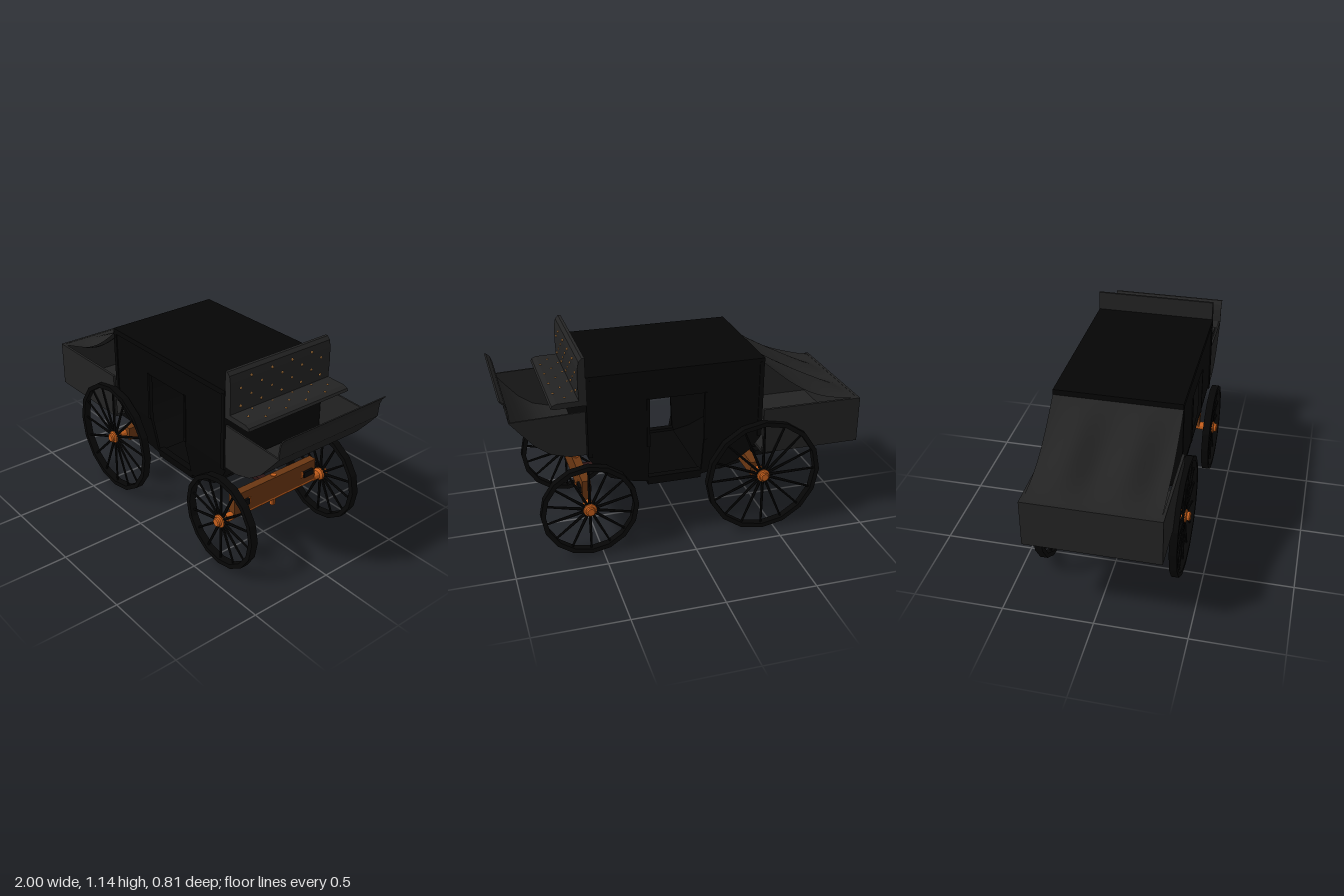
import * as THREE from 'three';

const mat = (color, side = THREE.FrontSide, flatShading = true) =>
  new THREE.MeshStandardMaterial({ color, side, flatShading });
const black = mat(0x050505, THREE.DoubleSide);
const iron = mat(0x060606);
const leather = mat(0x232323, THREE.DoubleSide);
const softLeather = mat(0x232323, THREE.DoubleSide, false);
const orange = mat(0xc8601c);
const wood = mat(0x6a3612);
const darkWood = mat(0x2a1414);
const brass = mat(0xe09a50);

function add(parent, name, geometry, material, x = 0, y = 0, z = 0) {
  const m = new THREE.Mesh(geometry, material);
  m.name = name;
  m.position.set(x, y, z);
  parent.add(m);
  return m;
}

const box = (w, h, d) => new THREE.BoxGeometry(w, h, d);
const rod = (r, length) => new THREE.CylinderGeometry(r, r, length, 12).rotateX(Math.PI / 2);
const shapeOf = pts => new THREE.Shape(pts.map(p => new THREE.Vector2(p[0], p[1])));

// x-y profile extruded across the vehicle, centred on z = 0
const crossExtrude = (pts, width) => new THREE.ExtrudeGeometry(shapeOf(pts),
  { depth: width, bevelEnabled: false }).translate(0, 0, -width / 2);

// body half width: straight above y = 0.6, tapering inwards below
const halfWidth = y => 0.34 - Math.max(0, 0.6 - y) * 0.2;

// sheet that follows an x-y profile across the full width
function ribbon(pts, width, cols = 1, lift = () => 0) {
  const g = new THREE.PlaneGeometry(1, 1, cols, pts.length - 1);
  const p = g.attributes.position;
  // profiles running down the rear are laid from +z to -z, so every sheet faces outwards
  const dir = pts[0][0] < 0 ? 1 : -1;
  for (let r = 0, i = 0; r < pts.length; r++) {
    for (let c = 0; c <= cols; c++, i++) {
      const [x, y] = pts[r], s = dir * (c / cols * 2 - 1);
      p.setXYZ(i, x, y + lift(r / (pts.length - 1), s), s * width(y));
    }
  }
  g.computeVertexNormals();
  return g;
}

// thin side panels on both sides, bent inwards with the body taper
function sidePanels(parent, name, pts, material, width, depth = 0.015) {
  for (const s of [1, -1]) {
    const g = new THREE.ExtrudeGeometry(shapeOf(pts), { depth, bevelEnabled: false });
    const p = g.attributes.position;
    for (let i = 0; i < p.count; i++) {
      p.setZ(i, s * (width(p.getY(i)) - depth) + (s > 0 ? p.getZ(i) : p.getZ(i) - depth));
    }
    g.computeVertexNormals();
    add(parent, name, g, material);
  }
}

// wheel with faceted rim, spokes and hub, axis along z
function wheel(radius, spokes) {
  const w = new THREE.Group();
  w.name = 'wheel';
  const ring = r => Array.from({ length: 16 }, (_, i) => {
    const a = i / 16 * Math.PI * 2 - Math.PI / 2;
    return new THREE.Vector2(r * Math.cos(a), r * Math.sin(a));
  });
  const s = new THREE.Shape(ring(radius));
  s.holes.push(new THREE.Path(ring(radius - 0.026)));
  const rim = new THREE.ExtrudeGeometry(s, { depth: 0.042, bevelEnabled: false });
  add(w, 'rim', rim.translate(0, 0, -0.021), iron);
  for (let i = 0; i < spokes; i++) {
    const g = new THREE.CylinderGeometry(0.006, 0.009, radius - 0.04, 6);
    g.translate(0, (radius - 0.04) / 2 + 0.02, 0).rotateZ(i / spokes * Math.PI * 2);
    add(w, 'spoke', g, iron);
  }
  // hub profile as radius, height along the axle
  const hub = [[0, -0.03], [0.025, -0.03], [0.037, -0.018], [0.037, 0.014], [0.026, 0.018],
    [0.026, 0.031], [0.02, 0.037], [0, 0.037]];
  const hubGeo = new THREE.LatheGeometry(hub.map(p => new THREE.Vector2(p[0], p[1])), 14);
  add(w, 'hub', hubGeo.rotateX(Math.PI / 2), orange);
  return w;
}

// axle with sleeves and a pair of wheels
function axleSet(name, x, y, radius, spokes) {
  const g = new THREE.Group();
  g.name = name;
  g.position.set(x, y, 0);
  add(g, 'axle', rod(0.022, 0.72), orange);
  for (const s of [1, -1]) {
    const w = wheel(radius, spokes);
    w.position.z = s * 0.368;
    if (s < 0) w.rotation.y = Math.PI;
    g.add(w);
    add(g, 'axleSleeve', rod(0.025, 0.04), orange, 0, 0, s * 0.32);
  }
  return g;
}

export function createModel() {
  const root = new THREE.Group();
  root.name = 'horseCarriage';

  // coach body: side walls with open doorways, curved ends, floor and roof
  const body = new THREE.Group();
  body.name = 'coachBody';
  root.add(body);
  const [x0, x1, d0, d1] = [-0.42, 0.555, -0.087, 0.218];
  sidePanels(body, 'upperSide', [[x0, 0.6], [d0, 0.6], [d0, 0.875], [d1, 0.875], [d1, 0.6],
    [x1, 0.6], [x1, 1.03], [x0, 1.03]], black, halfWidth);
  const rearCurve = [[x0, 0.6], [-0.42, 0.57], [-0.37, 0.49], [-0.29, 0.42], [-0.19, 0.38], [d0, 0.36]];
  const frontCurve = [[x1, 0.6], [x1, 0.57], [0.51, 0.5], [0.43, 0.42], [0.32, 0.38], [d1, 0.36]];
  sidePanels(body, 'lowerRearSide', [...rearCurve, [d0, 0.6]], black, halfWidth);
  sidePanels(body, 'lowerFrontSide', [...frontCurve, [d1, 0.6]], black, halfWidth);
  sidePanels(body, 'doorSill', [[d0, 0.335], [d1, 0.335], [d1, 0.387], [d0, 0.387]], black, halfWidth, 0.04);
  add(body, 'rearWall', ribbon([[x0, 1.03], ...rearCurve], halfWidth), black);
  add(body, 'frontWall', ribbon([[x1, 1.03], ...frontCurve], halfWidth), black);
  add(body, 'floor', box(d1 - d0, 0.012, 0.56), black, (d0 + d1) / 2, 0.366, 0);
  add(body, 'roof', box(0.979, 0.03, 0.69), black, 0.0675, 1.025, 0);
  for (const s of [1, -1]) {
    for (const x of [x0 + 0.012, x1 - 0.012]) add(body, 'cornerPost', box(0.024, 0.44, 0.01), black, x, 0.8, s * 0.341);
    for (const x of [d0 - 0.008, d1 + 0.008]) add(body, 'doorPost', box(0.016, 0.28, 0.01), black, x, 0.74, s * 0.341);
  }

  // rear luggage boot: open tray under a sagging cover
  const boot = new THREE.Group();
  boot.name = 'rearBoot';
  root.add(boot);
  add(boot, 'bootFloor', box(0.57, 0.015, 0.71), leather, -0.705, 0.483, 0);
  add(boot, 'bootEnd', box(0.015, 0.265, 0.71), leather, -0.9925, 0.6075, 0);
  for (const s of [1, -1]) add(boot, 'bootSide', box(0.575, 0.265, 0.015), leather, -0.7125, 0.6075, s * 0.353);
  const slope = [];
  for (let i = 0; i <= 14; i++) slope.push([-0.42 - 0.54 * i / 14, 1.01 - 0.27 * i / 14]);
  slope.push([-0.998, 0.738]);
  const sag = (t, s) => -Math.sin(Math.PI * Math.min(1, t * 1.07)) * (0.036 + 0.03 * Math.cos(s * 7 + t));
  add(boot, 'bootCover', ribbon(slope, () => 0.346, 24, sag), softLeather);

  // driver's footwell: curved floor rising into a flared dashboard
  const well = new THREE.Group();
  well.name = 'driverFootwell';
  root.add(well);
  const floor = [[0.562, 0.6], [0.65, 0.6], [0.75, 0.628], [0.83, 0.685], [0.9, 0.765], [0.958, 0.835]];
  const lip = [[0.96, 0.87], [0.965, 0.91], [0.977, 0.94], [0.999, 0.962]];
  add(well, 'footwellFloor', ribbon(floor, () => 0.342), softLeather);
  add(well, 'dashboard', crossExtrude([floor[5], ...lip, [0.99, 0.962], [0.969, 0.942], [0.957, 0.91],
    [0.952, 0.87], [0.95, 0.835]], 0.684), leather);
  sidePanels(well, 'footwellSide', [...floor, [0.92, 0.838], [0.562, 0.85]], leather, () => 0.342, 0.01);

  // driver's bench with buttoned cushions
  const seat = new THREE.Group();
  seat.name = 'driverSeat';
  seat.position.z = -0.003;
  root.add(seat);
  add(seat, 'backrest', crossExtrude([[0.555, 0.885], [0.58, 0.888], [0.593, 0.91], [0.597, 1.0], [0.595, 1.09],
    [0.587, 1.13], [0.57, 1.147], [0.555, 1.148]], 0.686), leather);
  add(seat, 'seatCushion', crossExtrude([[0.56, 0.887], [0.725, 0.883], [0.742, 0.89], [0.735, 0.903],
    [0.71, 0.914], [0.56, 0.917]], 0.686), leather);
  for (let row = 0; row < 4; row++) {
    const n = row % 2 ? 5 : 4;
    for (let i = 0; i < n; i++) {
      const z = (i - (n - 1) / 2) * 0.138;
      const button = () => new THREE.SphereGeometry(0.007, 8, 6);
      add(seat, 'backButton', button(), brass, 0.595, 1.1 - row * 0.05, z);
      if (row < 3) add(seat, 'seatButton', button(), brass, 0.605 + row * 0.05, 0.912, z);
    }
  }

  // running gear
  const rear = axleSet('rearAxle', -0.43, 0.339, 0.336, 16);
  const front = axleSet('frontAxle', 0.565, 0.281, 0.269, 14);
  root.add(rear, front);
  add(front, 'frontBolster', box(0.046, 0.13, 0.59), wood, 0, 0.069, 0);
  add(front, 'kingPin', new THREE.CylinderGeometry(0.016, 0.016, 0.19, 10), orange, 0, 0.044, 0);
  add(rear, 'rearBolster', box(0.05, 0.08, 0.59), wood, 0.02, 0.006, 0);
  for (const s of [1, -1]) {
    add(front, 'spring', box(0.07, 0.035, 0.07), iron, 0.003, 0.069, s * 0.235);
    add(front, 'springClip', box(0.056, 0.035, 0.014), orange, 0.002, 0.069, s * 0.192);
    add(rear, 'rearSpring', box(0.12, 0.03, 0.05), iron, -0.05, 0.086, s * 0.235);
  }
  add(root, 'perch', box(0.93, 0.026, 0.05), darkWood, 0.095, 0.346, 0);
  add(root, 'perchCoupling', box(0.035, 0.045, 0.07), wood, -0.35, 0.325, 0);
  return root;
}
